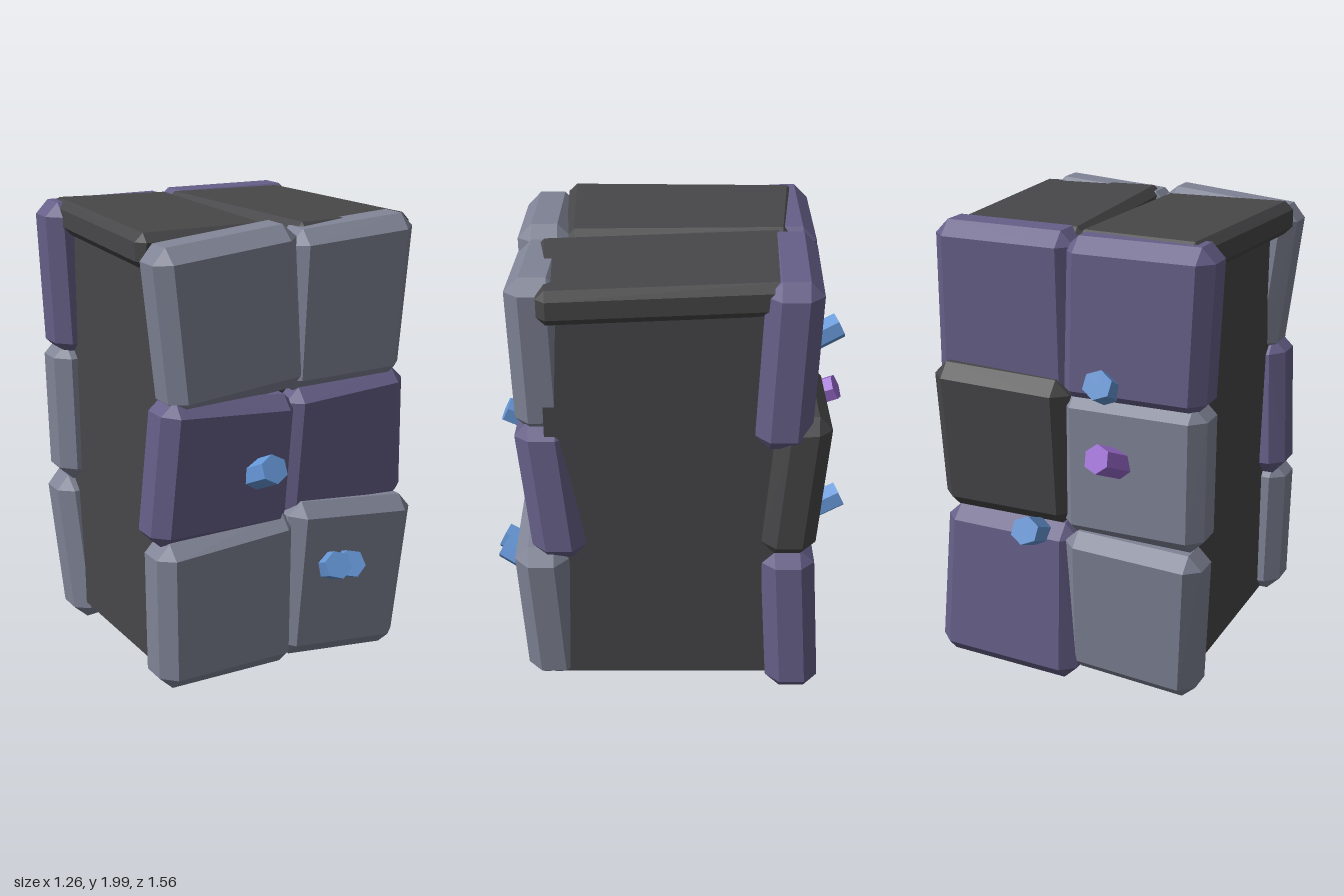
import * as THREE from 'three';
import { ConvexGeometry } from 'three/addons/geometries/ConvexGeometry.js';

const material = (name, color) => {
  const m = new THREE.MeshStandardMaterial({ color, flatShading: true });
  m.name = name;
  return m;
};

// Chamfered slab over an uneven quad [bottom left, bottom right, top right, top left];
// z is the centre depth, sx and sy lean the slab along x and y.
function slabGeometry([bl, br, tr, tl], z, depth, chamfer, sx = 0, sy = 0) {
  const cx = (bl[0] + br[0] + tr[0] + tl[0]) / 4;
  const cy = (bl[1] + br[1] + tr[1] + tl[1]) / 4;
  const w = (br[0] + tr[0] - bl[0] - tl[0]) / 2;
  const h = (tl[1] + tr[1] - bl[1] - br[1]) / 2;
  const place = (u, v, d) => {
    const mix = i => (bl[i] * (1 - u) + br[i] * u) * (1 - v) + (tl[i] * (1 - u) + tr[i] * u) * v;
    const x = mix(0), y = mix(1);
    return new THREE.Vector3(x, y, z + d + (x - cx) * sx + (y - cy) * sy);
  };
  const points = [];
  for (const a of [-1, 1]) for (const b of [-1, 1]) for (const c of [-1, 1]) {
    // each corner is cut into three points, one for each face
    for (let face = 0; face < 3; face++) {
      const cut = i => (i === face ? 0 : chamfer);
      points.push(place(
        0.5 + a * (0.5 - cut(0) / w),
        0.5 + b * (0.5 - cut(1) / h),
        c * (depth / 2 - cut(2))
      ));
    }
  }
  return new ConvexGeometry(points);
}

export function createModel() {
  const model = new THREE.Group();
  model.name = 'stonePillar';
  const grey = material('grey stone', 0x808496);
  const purple = material('purple stone', 0x665f88);
  const dark = material('dark stone', 0x474749);
  const blue = material('blue crystal', 0x6698d8);
  const violet = material('violet crystal', 0x9a6bcf);

  const add = (name, geometry, mat) => {
    const mesh = new THREE.Mesh(geometry, mat);
    mesh.name = name;
    model.add(mesh);
    return mesh;
  };

  // Core
  add('core', new THREE.BoxGeometry(1.06, 1.8, 1.04), dark).position.set(0, 0.995, 0);

  // Front and back stones: name, material, quad, z, lean x, lean y
  const stones = [
    ['frontTopRightStone', grey, [[-0.56, 1.26], [0.07, 1.32], [0.0, 2.0], [-0.64, 1.94]], 0.525, 0, 0.02],
    ['frontTopLeftStone', grey, [[-0.04, 1.29], [0.52, 1.30], [0.57, 2.0], [-0.02, 1.96]], 0.525, 0.03, 0.02],
    ['frontMiddleRightStone', purple, [[-0.64, 0.70], [0.0, 0.70], [0.02, 1.29], [-0.6, 1.34]], 0.505, 0, 0.08],
    ['frontMiddleLeftStone', purple, [[-0.04, 0.72], [0.6, 0.72], [0.54, 1.35], [-0.03, 1.31]], 0.502, 0, 0.11],
    ['frontBottomRightStone', grey, [[-0.62, 0.085], [0.02, 0.085], [0.02, 0.78], [-0.63, 0.73]], 0.52, 0, 0.01],
    ['frontBottomLeftStone', grey, [[-0.05, 0.11], [0.54, 0.05], [0.6, 0.76], [-0.02, 0.82]], 0.535, 0.02, 0.05],
    ['backTopRightStone', purple, [[-0.61, 1.29], [0.02, 1.29], [0.0, 1.98], [-0.64, 1.98]], -0.5, 0, 0],
    ['backTopLeftStone', purple, [[-0.04, 1.28], [0.62, 1.26], [0.6, 1.99], [-0.04, 1.99]], -0.475, 0.03, -0.04],
    ['backMiddleRightStone', grey, [[-0.61, 0.7], [0.02, 0.7], [0.02, 1.34], [-0.62, 1.34]], -0.5, 0, -0.02],
    ['backMiddleLeftStone', dark, [[-0.03, 0.73], [0.59, 0.73], [0.6, 1.4], [-0.03, 1.38]], -0.518, 0, -0.08],
    ['backBottomRightStone', grey, [[-0.57, 0.0], [0.02, 0.05], [0.0, 0.73], [-0.62, 0.7]], -0.5, 0, -0.1],
    ['backBottomLeftStone', purple, [[-0.05, 0.01], [0.62, 0.04], [0.58, 0.74], [-0.04, 0.73]], -0.515, 0, 0.06],
  ];
  for (const [name, mat, quad, z, sx, sy] of stones) {
    add(name, slabGeometry(quad, z, 0.23, 0.06, sx, sy), mat);
  }

  // Roof slabs, laid flat
  const roof = [
    ['roofSlabRight', [[-0.63, -0.46], [-0.02, -0.44], [-0.01, 0.5], [-0.57, 0.56]], -0.01, 0.012],
    ['roofSlabLeft', [[0.04, -0.56], [0.63, -0.52], [0.55, 0.5], [-0.04, 0.48]], -0.01, 0.005],
  ];
  for (const [name, quad, sx, sy] of roof) {
    add(name, slabGeometry(quad, 1.91, 0.145, 0.035, sx, sy), dark).rotation.x = -Math.PI / 2;
  }

  // Crystals: name, material, tip centre, sideways lean, front or back
  const crystals = [
    ['frontUpperCrystal', blue, [-0.185, 1.045, 0.755], 0, 1],
    ['frontLowerCrystal', blue, [0.135, 0.565, 0.755], -0.25, 1],
    ['frontSideCrystal', blue, [0.205, 0.555, 0.75], -0.35, 1],
    ['backUpperCrystal', blue, [-0.23, 1.445, -0.755], -0.2, -1],
    ['backMiddleCrystal', violet, [-0.225, 1.135, -0.755], 0.2, -1],
    ['backLowerCrystal', blue, [0.105, 0.765, -0.755], -0.15, -1],
  ];
  const length = 0.32;
  for (const [name, mat, tip, lean, side] of crystals) {
    const direction = new THREE.Vector3(lean, 0.46, side).normalize();
    const mesh = add(name, new THREE.CylinderGeometry(0.061, 0.061, length, 6), mat);
    mesh.quaternion.setFromUnitVectors(new THREE.Vector3(0, 1, 0), direction);
    mesh.position.set(...tip).addScaledVector(direction, -length / 2);
  }
  return model;
}
